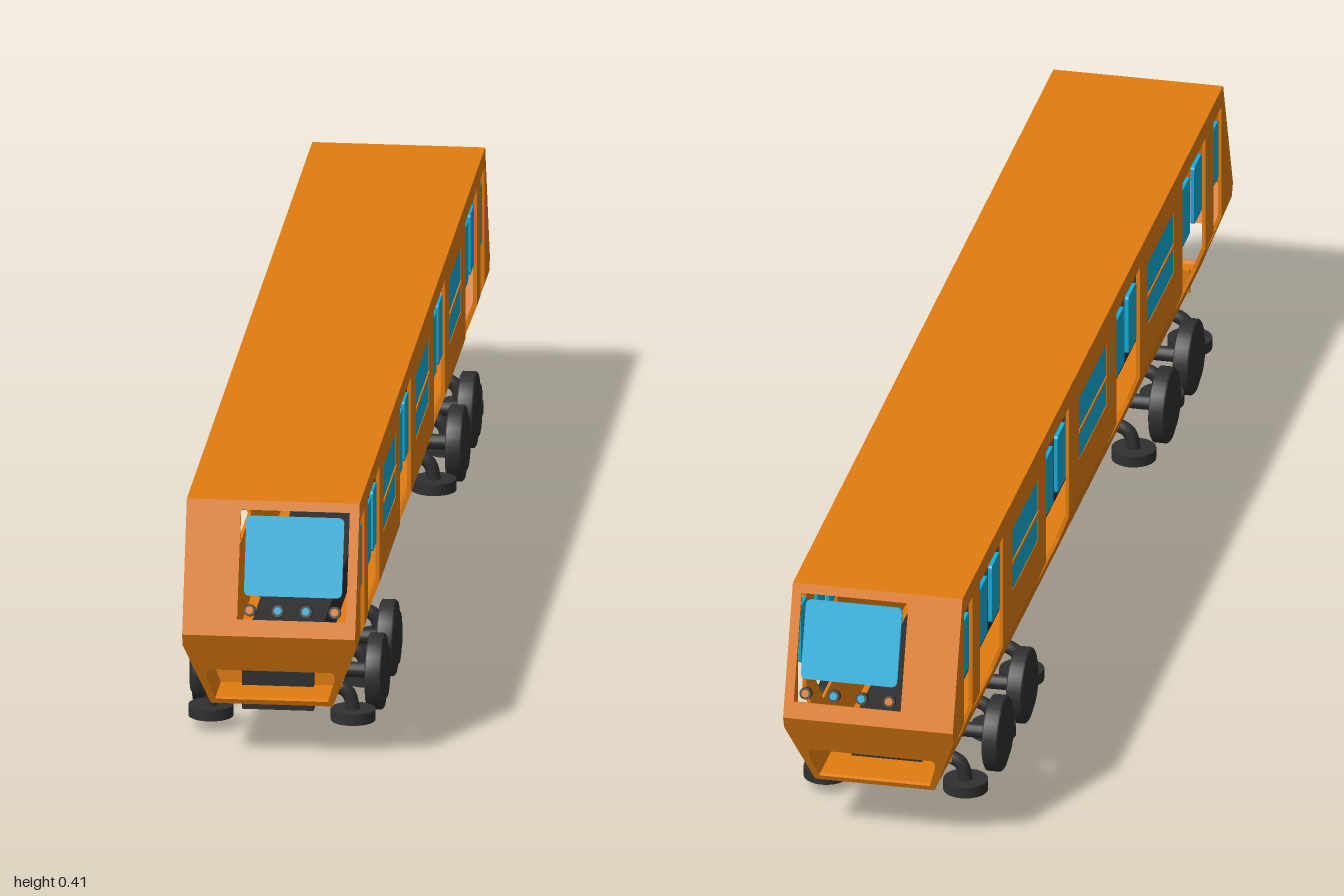
import * as THREE from 'three';

const W = 0.135, T = 0.006;          // half width, wall thickness
const TOP = 0.41, MID = 0.21, BEND = 0.19, LOW = 0.085;

export function createModel() {
  const root = new THREE.Group();
  const mat = (name, color) => {
    const m = new THREE.MeshStandardMaterial({ color });
    m.name = name;
    return m;
  };
  const orange = mat('orange paint', 0xe27d10);
  const blue = mat('blue glass', 0x12aedb);
  const dark = mat('dark rubber', 0x303030);
  orange.side = THREE.DoubleSide;

  const add = (parent, name, geo, material, x = 0, y = 0, z = 0) => {
    const m = new THREE.Mesh(geo, material);
    m.name = name;
    m.position.set(x, y, z);
    parent.add(m);
    return m;
  };
  const box = (parent, name, material, w, h, d, x, y, z) =>
    add(parent, name, new THREE.BoxGeometry(w, h, d), material, x, y, z);
  const vec = (pts) => pts.map(([x, y]) => new THREE.Vector2(x, y));
  const rect = (x0, x1, y0, y1) => [[x0, y0], [x1, y0], [x1, y1], [x0, y1]];
  // Flat panel with holes, its outer face on the local plane z = 0
  const panel = (pts, holes = []) => {
    const s = new THREE.Shape(vec(pts));
    holes.forEach((h) => s.holes.push(new THREE.Path(vec(h))));
    return new THREE.ExtrudeGeometry(s, { depth: T, bevelEnabled: false }).translate(0, 0, -T);
  };
  const roundedPane = (x0, x1, y0, y1, r) => {
    const s = new THREE.Shape();
    s.moveTo(x0 + r, y0).lineTo(x1 - r, y0).quadraticCurveTo(x1, y0, x1, y0 + r);
    s.lineTo(x1, y1 - r).quadraticCurveTo(x1, y1, x1 - r, y1);
    s.lineTo(x0 + r, y1).quadraticCurveTo(x0, y1, x0, y1 - r);
    s.lineTo(x0, y0 + r).quadraticCurveTo(x0, y0, x0 + r, y0);
    return new THREE.ExtrudeGeometry(s, { depth: T, bevelEnabled: false }).translate(0, 0, -T);
  };

  // Openings along the side, from one end to the other
  const doors = [[-0.92, -0.86], [-0.805, -0.64], [-0.335, -0.17],
    [0.17, 0.335], [0.64, 0.805], [0.86, 0.92]];
  const windows = [[-0.575, -0.39], [-0.098, 0.098], [0.39, 0.575]];
  const doorTop = 0.38, doorBottom = 0.15;
  const slant = Math.hypot(0.04, BEND - LOW), slantScale = slant / (BEND - LOW);

  // Side wall: upright upper panel and a lower panel leaning inward
  function makeSide(angle) {
    const side = new THREE.Group();
    side.name = 'sideWall';
    const endBend = 1 - (MID - BEND) * 0.4, endLow = 0.95;
    const upper = [[-0.93, TOP], [-1, MID], [-endBend, BEND]];
    doors.forEach(([a, b]) => upper.push([a, BEND], [a, doorTop], [b, doorTop], [b, BEND]));
    upper.push([endBend, BEND], [1, MID], [0.93, TOP]);
    add(side, 'upperSide', panel(upper, windows.map(([a, b]) => rect(a, b, 0.255, 0.36))),
      orange, 0, 0, W);

    const cut = -(BEND - doorBottom) * slantScale;
    const lower = [[-endLow, -slant], [-endBend, 0]];
    doors.forEach(([a, b]) => lower.push([a, 0], [a, cut], [b, cut], [b, 0]));
    lower.push([endBend, 0], [endLow, -slant]);
    add(side, 'lowerSide', panel(lower), orange, 0, BEND, W)
      .rotation.x = Math.atan(0.04 / (BEND - LOW));

    // Glass: split side windows and door panes
    windows.forEach(([a, b]) => {
      box(side, 'sideWindow', blue, b - a, 0.105, 0.004, (a + b) / 2, 0.3075, W - 0.003);
      box(side, 'windowBar', orange, b - a, 0.005, 0.004, (a + b) / 2, 0.303, W - 0.001);
    });
    doors.forEach(([a, b]) => {
      const wide = b - a > 0.1, w = wide ? 0.057 : 0.042, mid = (a + b) / 2;
      (wide ? [-0.043, 0.043] : [0]).forEach((off) =>
        add(side, 'doorPane', roundedPane(-w / 2, w / 2, 0.262, 0.36, 0.006),
          blue, mid + off, 0, W - 0.003));
    });
    side.rotation.y = angle;
    root.add(side);
  }
  makeSide(Math.PI / 2);
  makeSide(-Math.PI / 2);

  // Wedge-shaped end; s flips the off-centre windscreen so it stays on the same side
  function makeEnd(s) {
    const end = new THREE.Group();
    end.name = 'carEnd';
    const k = Math.hypot(0.07, 0.2) / 0.2, up = (y) => (y - MID) * k;
    const span = (a, b) => (s > 0 ? [a, b] : [-b, -a]);
    const upper = new THREE.Group();
    upper.name = 'upperEnd';
    upper.position.set(0, MID, 1);
    upper.rotation.x = -Math.atan(0.07 / 0.2);
    add(upper, 'endPanel', panel(rect(-W, W, 0, up(TOP)),
      [rect(...span(-0.05, 0.12), up(0.235), up(0.396))]), orange);
    add(upper, 'windscreen',
      roundedPane(...span(-0.041, 0.112), up(0.27), up(0.388), 0.01), blue);
    [-0.031, 0.013, 0.057, 0.102].forEach((x, i) => {
      const disc = (r, h) => new THREE.CylinderGeometry(r, r, h, 20).rotateX(Math.PI / 2);
      add(upper, 'lampRing', disc(0.0095, 0.01), dark, s * x, up(0.249), -0.002);
      add(upper, 'lampLens', disc(0.006, 0.004), i % 3 ? blue : orange, s * x, up(0.249), 0.003);
    });
    end.add(upper);

    // Lower end with the coupling opening
    const q = Math.hypot(0.05, 0.125) / 0.125, dn = (y) => (y - MID) * q;
    add(end, 'lowerEnd', panel(
      [[-0.095, dn(LOW)], [0.095, dn(LOW)], [W, dn(BEND)], [W, 0], [-W, 0], [-W, dn(BEND)]],
      [[[-0.088, dn(0.093)], [0.088, dn(0.093)], [0.1, dn(0.133)], [0.1, dn(0.143)],
        [0.096, dn(0.147)], [-0.096, dn(0.147)], [-0.1, dn(0.143)], [-0.1, dn(0.133)]]]),
    orange, 0, MID, 1).rotation.x = Math.atan(0.05 / 0.125);
    box(end, 'innerSill', orange, 0.2, 0.04, 0.006, 0, 0.107, 0.85);
    end.rotation.y = s > 0 ? 0 : Math.PI;
    root.add(end);
  }
  makeEnd(1);
  makeEnd(-1);

  // Roof, floor and underframe
  box(root, 'roof', orange, W * 2, T, 1.86, 0, TOP - T / 2, 0);
  box(root, 'floor', orange, 0.19, 0.004, 1.9, 0, LOW + 0.002, 0);
  box(root, 'underframe', dark, 0.112, 0.095, 1.73, 0, 0.0975, 0);

  // Running gear
  const wheelGeo = new THREE.LatheGeometry(vec([[0, 0.122], [0.055, 0.122], [0.06, 0.125],
    [0.06, 0.145], [0.057, 0.148], [0.045, 0.149], [0.04, 0.153], [0, 0.155]]), 28)
    .rotateZ(-Math.PI / 2);
  const axleGeo = new THREE.CylinderGeometry(0.012, 0.012, 0.25, 14).rotateZ(Math.PI / 2);
  const guideGeo = new THREE.CylinderGeometry(0.035, 0.035, 0.018, 24);
  const armPath = new THREE.CatmullRomCurve3([[0.05, 0.072], [0.08, 0.073], [0.103, 0.062],
    [0.112, 0.03]].map(([x, y]) => new THREE.Vector3(x, y, 0)));
  const armGeo = new THREE.TubeGeometry(armPath, 14, 0.011, 10);
  for (const e of [1, -1]) {
    for (const z of [0.682, 0.508]) add(root, 'axle', axleGeo, dark, 0, 0.062, e * z);
    for (const turn of [0, Math.PI]) {
      const gear = new THREE.Group();
      gear.name = 'runningGear';
      for (const z of [0.682, 0.508]) add(gear, 'wheel', wheelGeo, dark, 0, 0.061, e * z);
      for (const z of [0.8, 0.6, 0.4]) {
        add(gear, 'guideWheel', guideGeo, dark, 0.111, 0.027, e * z);
        add(gear, 'guideArm', armGeo, dark, 0, 0, e * z);
      }
      gear.rotation.y = turn;
      root.add(gear);
    }
  }
  return root;
}
